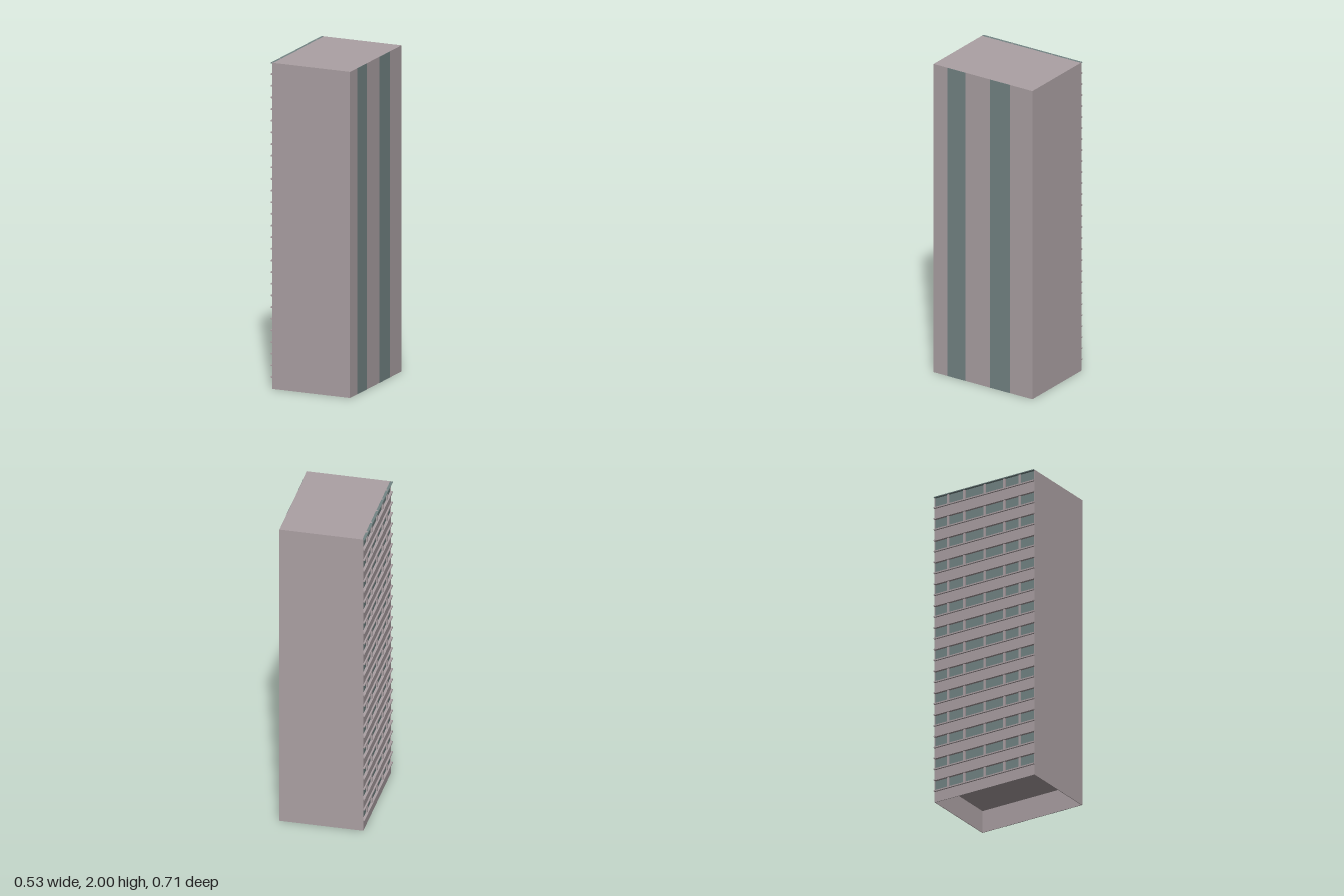
import * as THREE from 'three';

export function createModel() {
  const group = new THREE.Group();
  group.name = 'towerBlock';
  const wall = new THREE.MeshStandardMaterial({ name: 'pinkGreyWall', color: 0xaba0a3 });
  const glass = new THREE.MeshStandardMaterial({ name: 'tealGlass', color: 0x738484 });

  // Box given by its lower and upper limits on each axis
  const block = (name, material, [x0, x1], [y0, y1], [z0, z1], parent = group) => {
    const mesh = new THREE.Mesh(new THREE.BoxGeometry(x1 - x0, y1 - y0, z1 - z0), material);
    mesh.position.set((x0 + x1) / 2, (y0 + y1) / 2, (z0 + z1) / 2);
    mesh.name = name;
    parent.add(mesh);
    return mesh;
  };

  const H = 2, D = 0.356, T = 0.004;
  const floors = 14, storey = H / floors, half = storey / 2;
  const faceX = -0.253, glassX = -0.247, sideX = 0.262;

  // Shell, open underneath
  block('frontWall', wall, [faceX, sideX], [0, H], [D - T, D]);
  block('backWall', wall, [faceX, sideX], [0, H], [-D, -D + T]);
  block('sideWall', wall, [sideX - T, sideX], [0, H], [-D + T, D - T]);
  block('roof', wall, [glassX, sideX - T], [H - T, H], [-D + T, D - T]);

  // Full-height glass stripes on the plain side
  for (const span of [[0.125, 0.255], [-0.195, -0.05]]) {
    block('glassStripe', glass, [sideX - 0.001, sideX + 0.001], [0, H], span);
  }

  // Window side: each storey has a solid band below a row of panes
  for (let i = 0; i < floors; i++) {
    const floor = new THREE.Group();
    floor.name = 'storey';
    group.add(floor);
    const y = i * storey, mid = y + half, top = y + storey;
    block('wallBand', wall, [faceX, faceX + T], [y, mid], [-D + T, D - T], floor);
    block('windowRow', glass, [glassX, glassX + 0.002], [mid, top], [-D + T, D - T], floor);
    for (const z of [-0.26, -0.145, 0, 0.14, 0.25]) {
      block('mullion', wall, [-0.256, glassX + T], [mid, top], [z - 0.007, z + 0.007], floor);
    }
    block('sill', wall, [-0.263, glassX], [mid - 0.004, mid + 0.004], [-D, D], floor);
    if (i < floors - 1) {
      block('windowHead', wall, [-0.263, glassX], [top - 0.004, top + 0.004], [-D, D], floor);
      block('floorSlab', wall, [glassX, sideX - T], [top - 0.002, top + 0.002], [-D + T, D - T], floor);
    }
  }

  // Glazed cap along the roof edge
  block('roofEdge', glass, [-0.263, glassX], [H - 0.005, H], [-D, D]);
  return group;
}
